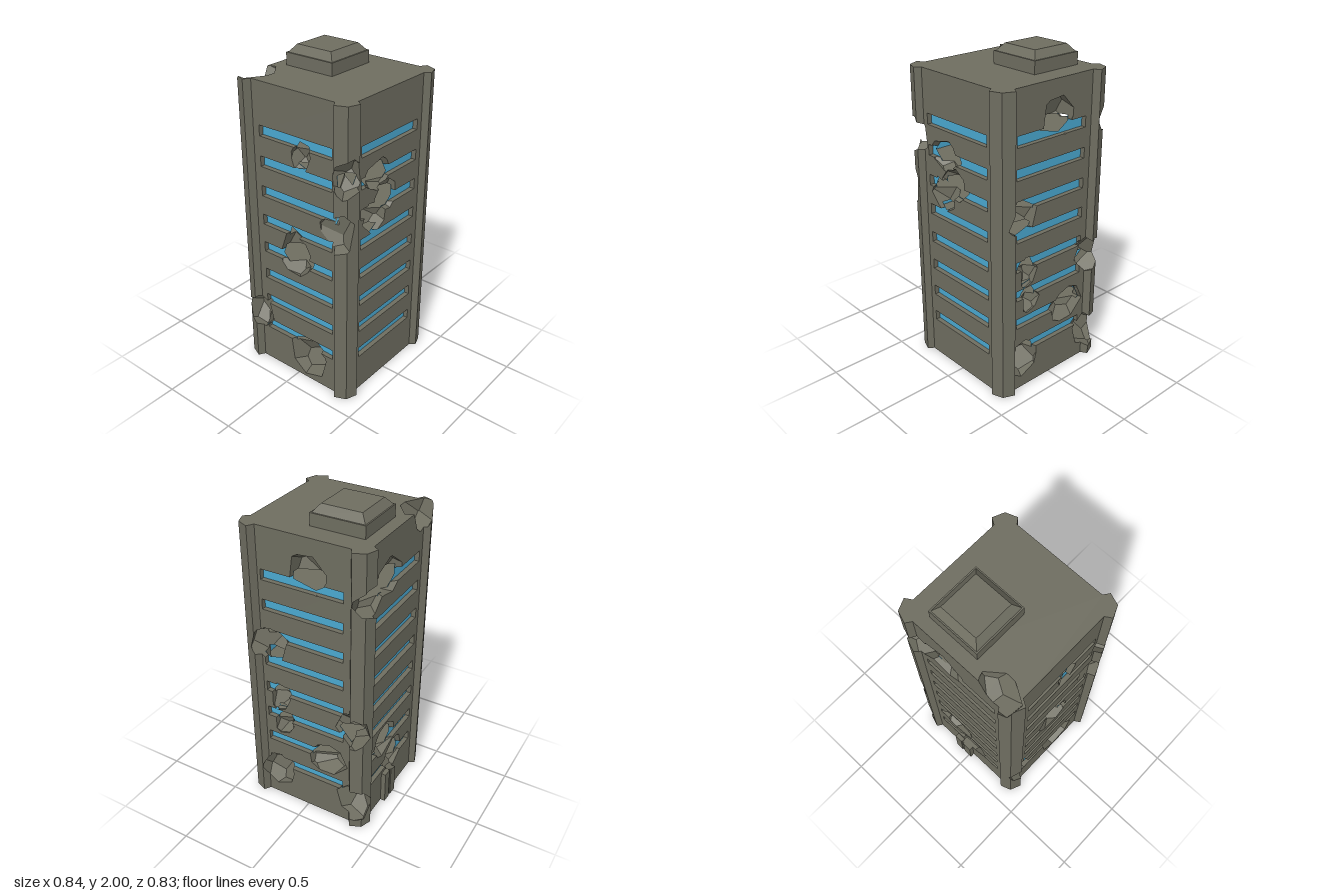
import * as THREE from 'three';

const concrete = new THREE.MeshStandardMaterial({ name: 'concrete', color: 0x6e6d60 });
const windowBlue = new THREE.MeshStandardMaterial({ name: 'window blue', color: 0x4aa8d0, side: THREE.DoubleSide });

const V = (x, y, z) => new THREE.Vector3(x, y, z);
let seed = 7;
const rand = () => (seed = (seed * 16807) % 2147483647) / 2147483647;

// Plane through point p with outward normal n
const plane = (n, p) => ({ n: n.normalize(), d: n.dot(p) });

// Split a convex polygon by a plane into an inner and an outer part
function split(poly, { n, d }) {
  const inner = [], outer = [];
  poly.forEach((a, i) => {
    const b = poly[(i + 1) % poly.length];
    const da = n.dot(a) - d, db = n.dot(b) - d;
    if (da <= 1e-6) inner.push(a);
    if (da >= -1e-6) outer.push(a);
    if ((da < -1e-6 && db > 1e-6) || (da > 1e-6 && db < -1e-6)) {
      const m = a.clone().lerp(b, da / (da - db));
      inner.push(m);
      outer.push(m);
    }
  });
  return { inner: inner.length > 2 ? inner : null, outer: outer.length > 2 ? outer : null };
}

// Part of a polygon inside all planes
function clip(poly, planes) {
  for (const pl of planes) {
    if (!poly) return null;
    poly = split(poly, pl).inner;
  }
  return poly;
}

// Parts of a polygon outside a convex solid
function subtract(poly, solid) {
  const pieces = [];
  let rest = poly;
  for (const pl of solid.planes) {
    const { inner, outer } = split(rest, pl);
    if (outer) pieces.push(outer);
    rest = inner;
    if (!rest) return [poly];
  }
  return pieces;
}

const subtractAll = (polys, solids) =>
  solids.reduce((list, s) => list.flatMap(p => subtract(p, s)), polys);

// Convex solid bounded by planes; faces are large quads cut to size
function convex(planes) {
  const faces = [];
  planes.forEach((pl, i) => {
    const u = V(0, 1, 0);
    if (Math.abs(pl.n.y) > 0.9) u.set(1, 0, 0);
    u.cross(pl.n).normalize();
    const v = pl.n.clone().cross(u);
    const quad = [[-1, -1], [1, -1], [1, 1], [-1, 1]].map(([a, b]) =>
      pl.n.clone().multiplyScalar(pl.d).addScaledVector(u, a * 4).addScaledVector(v, b * 4));
    const face = clip(quad, planes.filter((_, j) => j !== i));
    if (face) faces.push(face);
  });
  return { planes, faces };
}

const box = (x0, x1, y0, y1, z0, z1) => convex([
  plane(V(1, 0, 0), V(x1, 0, 0)), plane(V(-1, 0, 0), V(x0, 0, 0)),
  plane(V(0, 1, 0), V(0, y1, 0)), plane(V(0, -1, 0), V(0, y0, 0)),
  plane(V(0, 0, 1), V(0, 0, z1)), plane(V(0, 0, -1), V(0, 0, z0))]);

// Rough faceted lump used to bite a crater
function lump([x, y, z, rx, ry, rz]) {
  const planes = [], count = 15, turn = rand() * 6;
  for (let i = 0; i < count; i++) {
    const h = 1 - (2 * i + 1) / count, r = Math.sqrt(1 - h * h);
    const a = i * 2.4 + turn + (rand() - 0.5) * 0.6, k = 0.82 + rand() * 0.2;
    const dir = V(r * Math.cos(a), h, r * Math.sin(a));
    planes.push(plane(V(dir.x / rx, dir.y / ry, dir.z / rz),
      V(x + dir.x * rx * k, y + dir.y * ry * k, z + dir.z * rz * k)));
  }
  return convex(planes);
}

// Craters: centre and radii
const craters = [
  // left side
  [0.38, 1.67, -0.03, 0.1, 0.11, 0.115], [0.38, 1.14, 0.24, 0.12, 0.11, 0.115],
  [0.38, 0.78, 0.18, 0.08, 0.09, 0.065], [0.38, 0.595, 0.16, 0.07, 0.07, 0.065],
  [0.38, 0.435, -0.145, 0.11, 0.11, 0.125], [0.38, 0.2, 0.215, 0.12, 0.12, 0.1],
  [0.39, 0.72, -0.32, 0.1, 0.11, 0.11], [0.39, 0.175, -0.33, 0.1, 0.13, 0.11],
  // front
  [-0.11, 1.41, 0.38, 0.105, 0.09, 0.08], [-0.13, 1.15, 0.38, 0.105, 0.1, 0.11],
  [-0.03, 1.25, 0.38, 0.1, 0.09, 0.09],
  [-0.36, 1.47, 0.37, 0.1, 0.11, 0.09], [-0.41, 1.14, 0.33, 0.075, 0.12, 0.14],
  // back
  [0.3, 1.58, -0.39, 0.13, 0.1, 0.1], [0.11, 1.63, -0.39, 0.15, 0.1, 0.1],
  [0.09, 0.49, -0.39, 0.12, 0.11, 0.11], [-0.03, 0.29, -0.39, 0.12, 0.11, 0.1],
  // right side
  [-0.39, 0.35, -0.3, 0.1, 0.12, 0.1], [-0.38, 0.16, 0.09, 0.1, 0.14, 0.13],
  [-0.38, 0.87, 0, 0.1, 0.14, 0.11], [-0.38, 1.51, 0.05, 0.08, 0.09, 0.06],
  // roof corner
  [-0.28, 1.88, -0.37, 0.12, 0.13, 0.11],
].map(lump);

function polygonMesh(name, polys, material) {
  const points = [];
  for (const p of polys)
    for (let i = 1; i < p.length - 1; i++)
      for (const q of [p[0], p[i], p[i + 1]]) points.push(q.x, q.y, q.z);
  const g = new THREE.BufferGeometry();
  g.setAttribute('position', new THREE.Float32BufferAttribute(points, 3));
  g.computeVertexNormals();
  const mesh = new THREE.Mesh(g, material);
  mesh.name = name;
  return mesh;
}

// Solids with every crater bitten out, including the crater surfaces
function damaged(name, solids) {
  const polys = [];
  for (const s of solids) {
    polys.push(...subtractAll(s.faces, craters));
    craters.forEach((c, i) => {
      const lining = c.faces.map(f => clip(f, s.planes)).filter(Boolean).map(f => f.slice().reverse());
      polys.push(...subtractAll(lining, craters.filter((_, j) => j !== i)));
    });
  }
  return polygonMesh(name, polys, concrete);
}

export function createModel() {
  const model = new THREE.Group();
  model.name = 'damagedTower';
  const W = 0.38, IN = 0.35, H = 1.88;

  // Solid floors, with a hollow storey behind each window row
  const floors = [], walls = [], glass = [];
  let below = 0;
  for (let i = 0; i < 8; i++) {
    const y0 = 0.24 + i * 0.1878, y1 = y0 + 0.066, lo = y0 - 0.018, hi = y1 + 0.025;
    floors.push(box(-W, W, below, lo, -W, W));
    below = hi;
    for (const s of [-1, 1]) {
      const a = s > 0 ? IN : -W, b = s > 0 ? W : -IN, g = s * (IN - 0.002);
      // sill, lintel and piers around each slot
      for (const [u0, u1, v0, v1] of [[-W, W, lo, y0], [-W, W, y1, hi], [-W, -0.26, y0, y1], [0.255, W, y0, y1]])
        walls.push(box(u0, u1, v0, v1, a, b));
      for (const [u0, u1, v0, v1] of [[-W, W, lo, y0], [-W, W, y1, hi], [-W, -0.25, y0, y1], [0.275, W, y0, y1]])
        walls.push(box(a, b, v0, v1, u0, u1));
      // recessed panes
      glass.push([V(-IN, lo, g), V(IN, lo, g), V(IN, hi, g), V(-IN, hi, g)]);
      glass.push([V(g, lo, -IN), V(g, lo, IN), V(g, hi, IN), V(g, hi, -IN)]);
    }
  }
  floors.push(box(-W, W, below, H, -W, W));
  model.add(damaged('floors', floors), damaged('windowWalls', walls));
  model.add(polygonMesh('windowPanes', subtractAll(glass, craters), windowBlue));

  // Flared corner posts
  const plan = [[0.295, 0.38], [0.32, 0.415], [0.39, 0.39], [0.42, 0.32], [0.38, 0.295], [0.295, 0.295]];
  const posts = [];
  for (const sx of [-1, 1]) for (const sz of [-1, 1]) {
    const planes = [plane(V(0, 1, 0), V(0, H, 0)), plane(V(0, -1, 0), V(0, 0, 0))];
    plan.forEach(([x, z], i) => {
      const [x2, z2] = plan[(i + 1) % plan.length];
      planes.push(plane(V(sx * (z - z2), 0, sz * (x2 - x)), V(sx * x, 0, sz * z)));
    });
    posts.push(convex(planes));
  }
  model.add(damaged('cornerPosts', posts));

  // Roof block with bevelled cap
  const cx = 0.085, cz = -0.137;
  const cap = [plane(V(0, 1, 0), V(0, 2, 0)), plane(V(0, -1, 0), V(0, 1.955, 0))];
  for (const s of [-1, 1]) {
    cap.push(plane(V(s * 0.045, 0.037, 0), V(cx + s * 0.157, 1.955, 0)));
    cap.push(plane(V(0, 0.037, s * 0.045), V(0, 1.955, cz + s * 0.16)));
  }
  model.add(damaged('roofBlock', [box(cx - 0.166, cx + 0.166, H, 1.955, cz - 0.168, cz + 0.168), convex(cap)]));

  // Twin service door at the back
  model.add(damaged('backDoor', [
    box(-0.02, 0.04, 0, 0.22, -0.41, -0.37), box(0.06, 0.115, 0, 0.22, -0.41, -0.37),
    box(0.04, 0.06, 0, 0.22, -0.403, -0.37)]));
  return model;
}
